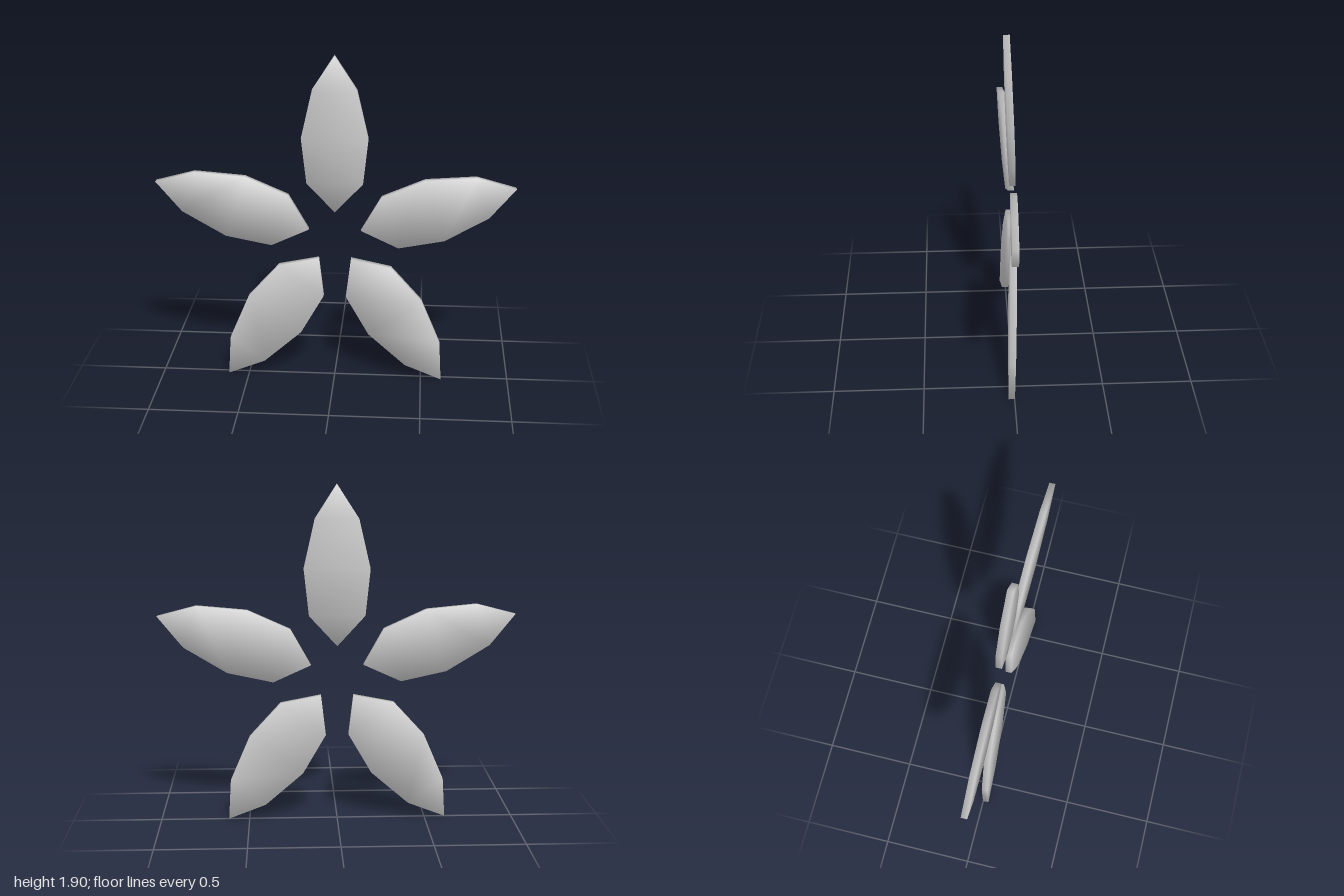
import * as THREE from 'three';

// Half outline of a petal: [distance from flower centre, half width]
const STATIONS = [[0.155, 0], [0.325, 0.157], [0.585, 0.185], [0.86, 0.122], [1.05, 0]];
const THICKNESS = 0.035;

// Thin slab leaning slightly forward to the tip, with softened rim normals
function petalGeometry() {
  const right = STATIONS.map(([r, w]) => new THREE.Vector2(w, r));
  const left = STATIONS.slice(1, -1).reverse().map(([r, w]) => new THREE.Vector2(-w, r));
  const outline = [...right, ...left]; // counter-clockwise seen from +z
  const n = outline.length;
  const positions = [], normals = [], index = [];

  for (const side of [1, -1]) {
    outline.forEach((p, i) => {
      const lean = THREE.MathUtils.mapLinear(p.y, 0.155, 1.05, -0.0155, 0.0155);
      positions.push(p.x, p.y, lean + side * THICKNESS / 2);
      // outward direction: average of the two neighbouring edge normals
      const a = p.clone().sub(outline[(i + n - 1) % n]).normalize();
      const b = outline[(i + 1) % n].clone().sub(p).normalize();
      const t = a.add(b).normalize();
      const normal = new THREE.Vector3(t.y * 0.8, -t.x * 0.8, side).normalize();
      normals.push(normal.x, normal.y, normal.z);
    });
  }

  // Front and back faces, strip by strip from base to tip
  const last = STATIONS.length - 1;
  const mirror = (i) => (n - i) % n;
  const face = (a, b, c) => index.push(a, b, c, a + n, c + n, b + n);
  for (let i = 0; i < last; i++) {
    if (i + 1 < last) face(i, i + 1, mirror(i + 1));
    else face(i, last, mirror(i));
    if (i > 0 && i + 1 < last) face(i, mirror(i + 1), mirror(i));
  }
  // Rim
  for (let i = 0; i < n; i++) {
    const j = (i + 1) % n;
    index.push(i, i + n, j, j, i + n, j + n);
  }

  const geometry = new THREE.BufferGeometry();
  geometry.setAttribute('position', new THREE.Float32BufferAttribute(positions, 3));
  geometry.setAttribute('normal', new THREE.Float32BufferAttribute(normals, 3));
  geometry.setIndex(index);
  return geometry;
}

export function createModel() {
  const flower = new THREE.Group();
  flower.name = 'flower';
  const geometry = petalGeometry();
  const material = new THREE.MeshStandardMaterial({ color: 0xcccccc });

  // Five petals around the open centre
  for (let i = 0; i < 5; i++) {
    const petal = new THREE.Mesh(geometry, material);
    petal.name = `petal${i + 1}`;
    petal.position.y = 1.05 * Math.cos(Math.PI / 5) + 0.005;
    petal.rotation.z = (i * 2 * Math.PI) / 5;
    flower.add(petal);
  }
  return flower;
}
